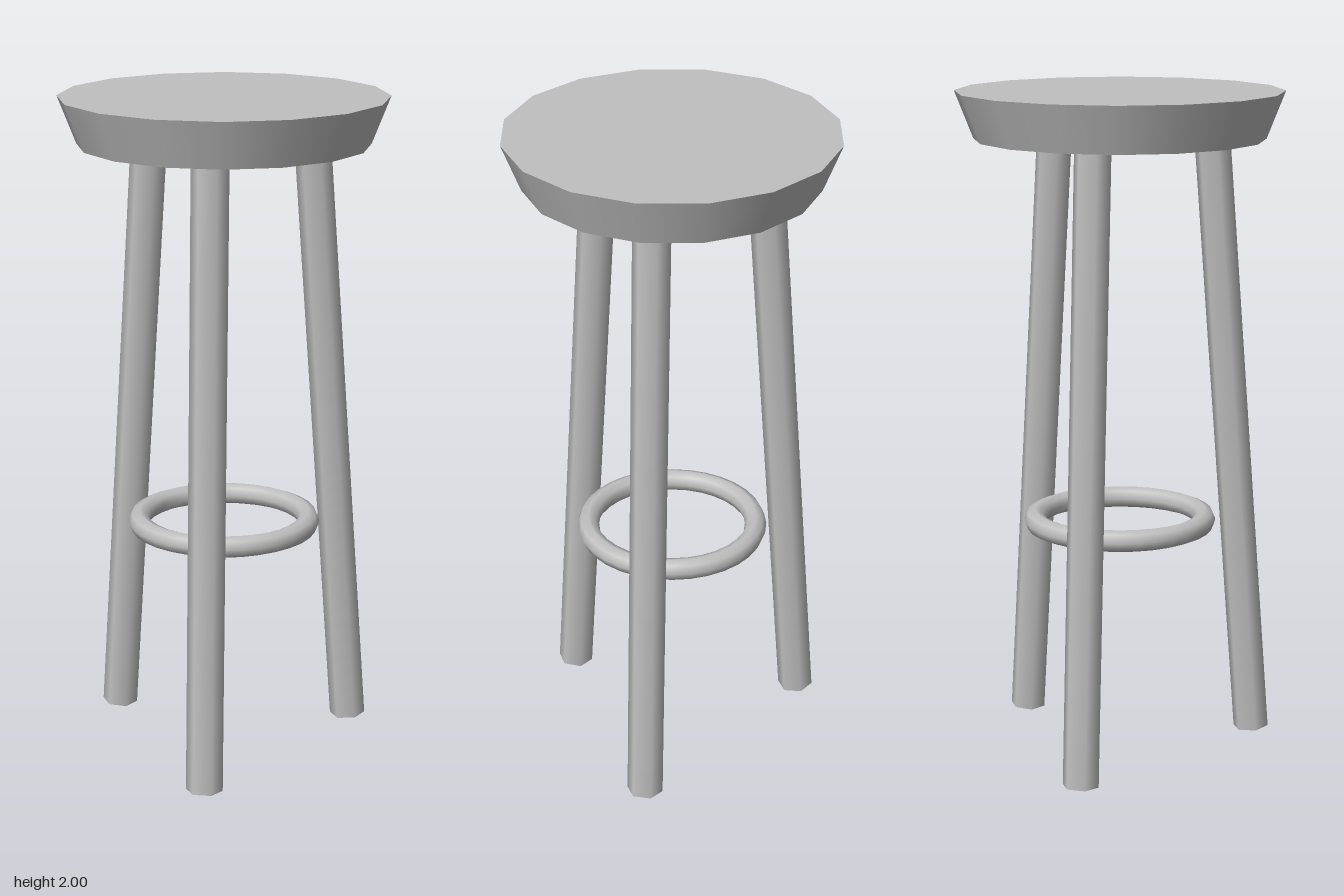
import * as THREE from 'three';

export function createModel() {
  const group = new THREE.Group();
  const grey = new THREE.MeshStandardMaterial({ color: 0xc0c0c0 });
  grey.name = 'plain grey';

  function add(name, geometry, parent = group) {
    const mesh = new THREE.Mesh(geometry, grey);
    mesh.name = name;
    parent.add(mesh);
    return mesh;
  }

  // Tapered sixteen-sided seat
  add('seat', new THREE.CylinderGeometry(0.485, 0.43, 0.14, 16)).position.y = 1.93;

  // Three six-sided legs, splayed outwards towards the floor
  const foot = new THREE.Vector3(0.425, 0.004, 0);
  const head = new THREE.Vector3(0.282, 1.864, 0);
  const axis = head.clone().sub(foot);
  const legGeometry = new THREE.CylinderGeometry(0.055, 0.055, axis.length(), 6);
  for (let i = 0; i < 3; i++) {
    const pivot = new THREE.Group();
    pivot.name = 'legPivot' + (i + 1);
    pivot.rotation.y = (i * Math.PI * 2) / 3;
    const leg = add('leg' + (i + 1), legGeometry, pivot);
    leg.position.copy(foot).add(head).multiplyScalar(0.5);
    leg.quaternion.setFromUnitVectors(new THREE.Vector3(0, 1, 0), axis.clone().normalize());
    group.add(pivot);
  }

  // Foot ring between the legs
  const ring = add('footRing', new THREE.TorusGeometry(0.257, 0.033, 8, 32));
  ring.rotation.x = Math.PI / 2;
  ring.position.y = 0.707;

  return group;
}
